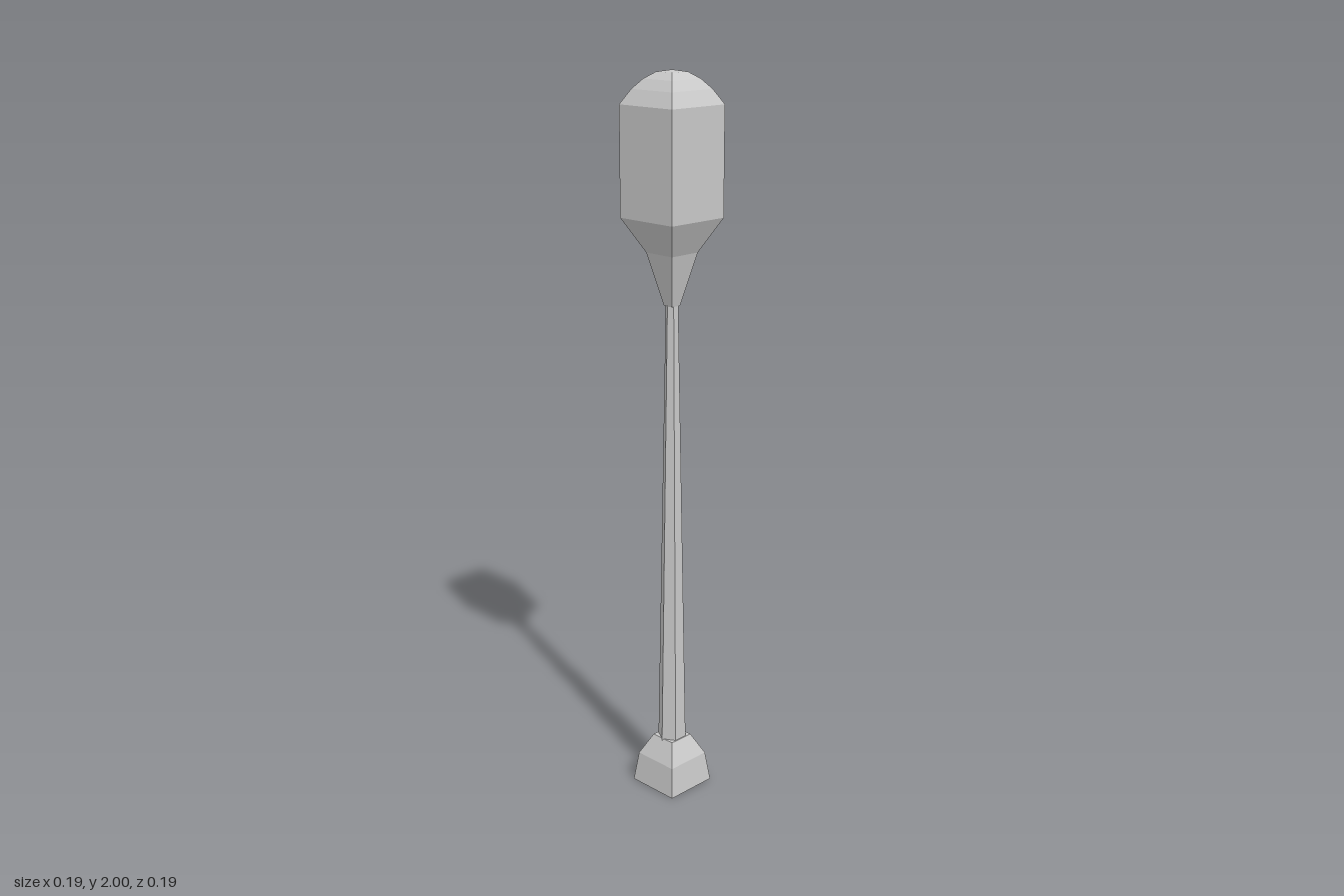
import * as THREE from 'three';

export function createModel() {
  const group = new THREE.Group();
  const grey = new THREE.MeshStandardMaterial({ color: 0xc8c8c8, flatShading: true });
  grey.name = 'grey';

  // Faceted solid of revolution; profile is [distance to the flat side, height], bottom to top
  function addFaceted(name, profile, sides, start, scale) {
    const points = profile.map(([r, y]) => new THREE.Vector2(r * scale, y));
    const geometry = new THREE.LatheGeometry(points, sides, start).toNonIndexed();
    geometry.computeVertexNormals();
    const mesh = new THREE.Mesh(geometry, grey);
    mesh.name = name;
    group.add(mesh);
  }
  const addSquare = (name, profile) => addFaceted(name, profile, 4, Math.PI / 4, Math.SQRT2);

  // Square stepped foot
  addSquare('base', [[0, 0], [0.078, 0], [0.067, 0.085], [0.037, 0.145], [0, 0.145]]);

  // Slender six-sided tapering pole
  addFaceted('pole', [[0, 0.13], [0.04, 0.14], [0.017, 1.4], [0, 1.41]], 6, Math.PI / 2, 1);

  // Flared neck below the lamp
  addSquare('neck', [[0, 1.4], [0.015, 1.4], [0.047, 1.54], [0.094, 1.63]]);

  // Square lamp housing
  addSquare('lampHousing', [[0.094, 1.63], [0.094, 1.915]]);

  // Stepped domed cap
  addSquare('lampCap', [[0.094, 1.915], [0.072, 1.953], [0.051, 1.978], [0.028, 1.995], [0, 2]]);

  return group;
}
